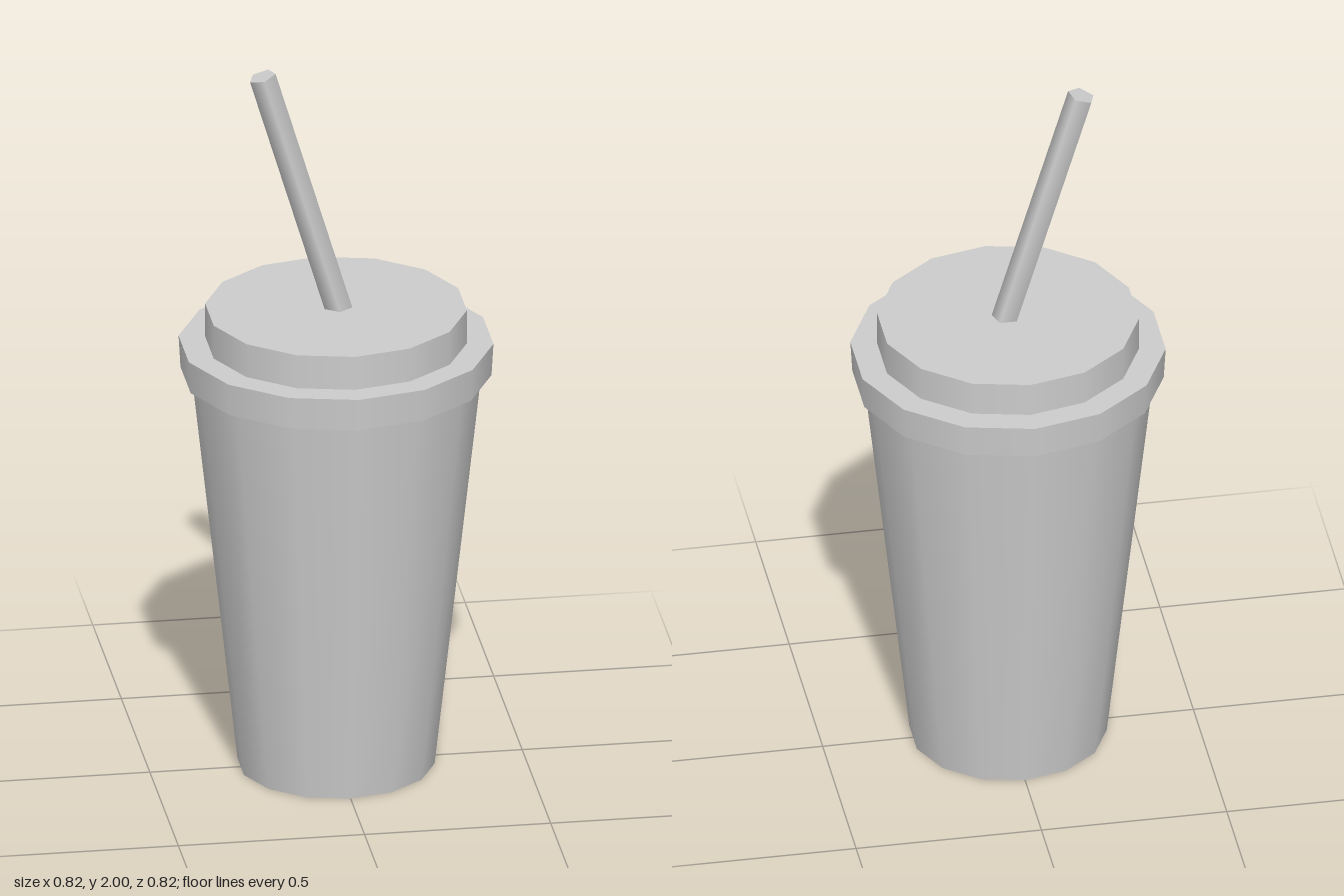
import * as THREE from 'three';

const material = new THREE.MeshStandardMaterial({ color: 0xcccccc });
const SIDES = 14;
const WIDEN = 1.0256; // the round parts are slightly wider in x than in z

// Upright tapered cylinder standing between two heights
function ring(name, rTop, rBottom, y0, y1) {
  const geometry = new THREE.CylinderGeometry(rTop, rBottom, y1 - y0, SIDES);
  geometry.scale(WIDEN, 1, 1);
  const mesh = new THREE.Mesh(geometry, material);
  mesh.name = name;
  mesh.position.y = (y0 + y1) / 2;
  return mesh;
}

export function createModel() {
  const group = new THREE.Group();
  group.name = 'drinkCup';

  // Tapered cup and two-step lid
  group.add(ring('cup', 0.382, 0.256, 0, 1.17));
  group.add(ring('lidRim', 0.409, 0.404, 1.127, 1.217));
  group.add(ring('lidTop', 0.34, 0.34, 1.2, 1.312));

  // Five-sided straw leaning to the model's right, its foot inside the lid
  const tilt = 0.291, length = 0.8;
  const geometry = new THREE.CylinderGeometry(0.0375, 0.0375, length, 5);
  geometry.translate(0, -length / 2, 0); // pivot at the top end
  const straw = new THREE.Mesh(geometry, material);
  straw.name = 'straw';
  straw.rotation.z = tilt;
  straw.position.set(-0.198, 1.99, -0.0015);
  group.add(straw);

  return group;
}
